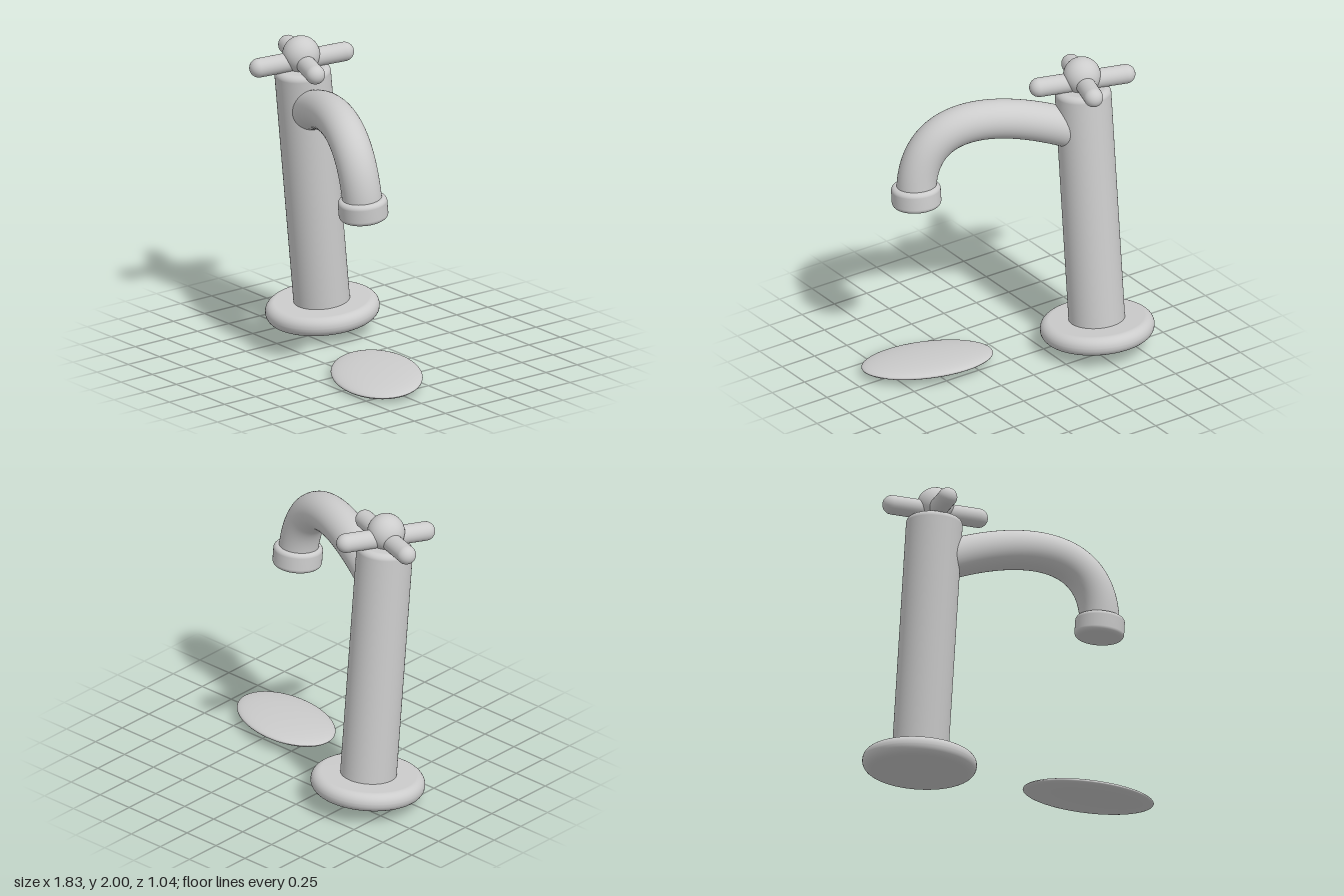
import * as THREE from 'three';

const metal = new THREE.MeshStandardMaterial({ color: 0xcccccc });
metal.name = 'light grey metal';

function part(name, geometry, parent, x = 0, y = 0, z = 0) {
  const mesh = new THREE.Mesh(geometry, metal);
  mesh.name = name;
  mesh.position.set(x, y, z);
  parent.add(mesh);
  return mesh;
}

// Solid disc standing on y = 0 with rounded lower and upper rims
function roundedDisc(radius, height, bottomBevel, topBevel) {
  const points = [new THREE.Vector2(0, 0)];
  const steps = 8;
  for (let i = 0; i <= steps; i++) {
    const a = (i / steps) * Math.PI / 2;
    points.push(new THREE.Vector2(
      radius - bottomBevel + bottomBevel * Math.sin(a),
      bottomBevel - bottomBevel * Math.cos(a)));
  }
  for (let i = 0; i <= steps; i++) {
    const a = (i / steps) * Math.PI / 2;
    points.push(new THREE.Vector2(
      radius - topBevel + topBevel * Math.cos(a),
      height - topBevel + topBevel * Math.sin(a)));
  }
  points.push(new THREE.Vector2(0, height));
  return new THREE.LatheGeometry(points, 64);
}

export function createModel() {
  const model = new THREE.Group();
  model.name = 'tap';

  // The whole tap leans forward
  const lean = new THREE.Group();
  lean.name = 'leaningTap';
  lean.position.set(-0.555, 0.08, -0.164);
  lean.rotation.x = 0.098;
  model.add(lean);

  // The spout direction is turned towards the front
  const tap = new THREE.Group();
  tap.name = 'turnedTap';
  tap.rotation.y = -0.35;
  lean.add(tap);

  // Base and column
  part('baseFlange', roundedDisc(0.365, 0.125, 0.06, 0.06), tap);
  part('column', roundedDisc(0.18, 1.62, 0.01, 0.04), tap, 0, 0.1, 0);

  // Cross handle
  const handle = new THREE.Group();
  handle.name = 'crossHandle';
  tap.add(handle);
  part('handleHub', new THREE.SphereGeometry(0.12, 40, 28), handle, 0, 1.807, 0);
  for (let i = 0; i < 2; i++) {
    const arm = part('handleArm', new THREE.CapsuleGeometry(0.062, 0.57, 10, 28), handle, 0, 1.77, 0);
    if (i === 0) arm.rotation.z = Math.PI / 2;
    else arm.rotation.x = Math.PI / 2;
  }

  // Curved spout and its outlet collar
  const curve = new THREE.CubicBezierCurve3(
    new THREE.Vector3(0, 1.41, 0),
    new THREE.Vector3(0.5, 1.66, 0),
    new THREE.Vector3(1.1, 1.76, 0),
    new THREE.Vector3(1.126, 1.16, 0));
  part('spout', new THREE.TubeGeometry(curve, 64, 0.127, 40), tap);
  part('outletCollar', roundedDisc(0.158, 0.14, 0.03, 0.03), tap, 1.126, 1.09, 0);

  // Flat puddle under the outlet
  const puddle = part('puddle', new THREE.SphereGeometry(1, 56, 28), tap, 1.12, 0.014, 0);
  puddle.scale.set(0.427, 0.045, 0.276);

  return model;
}
